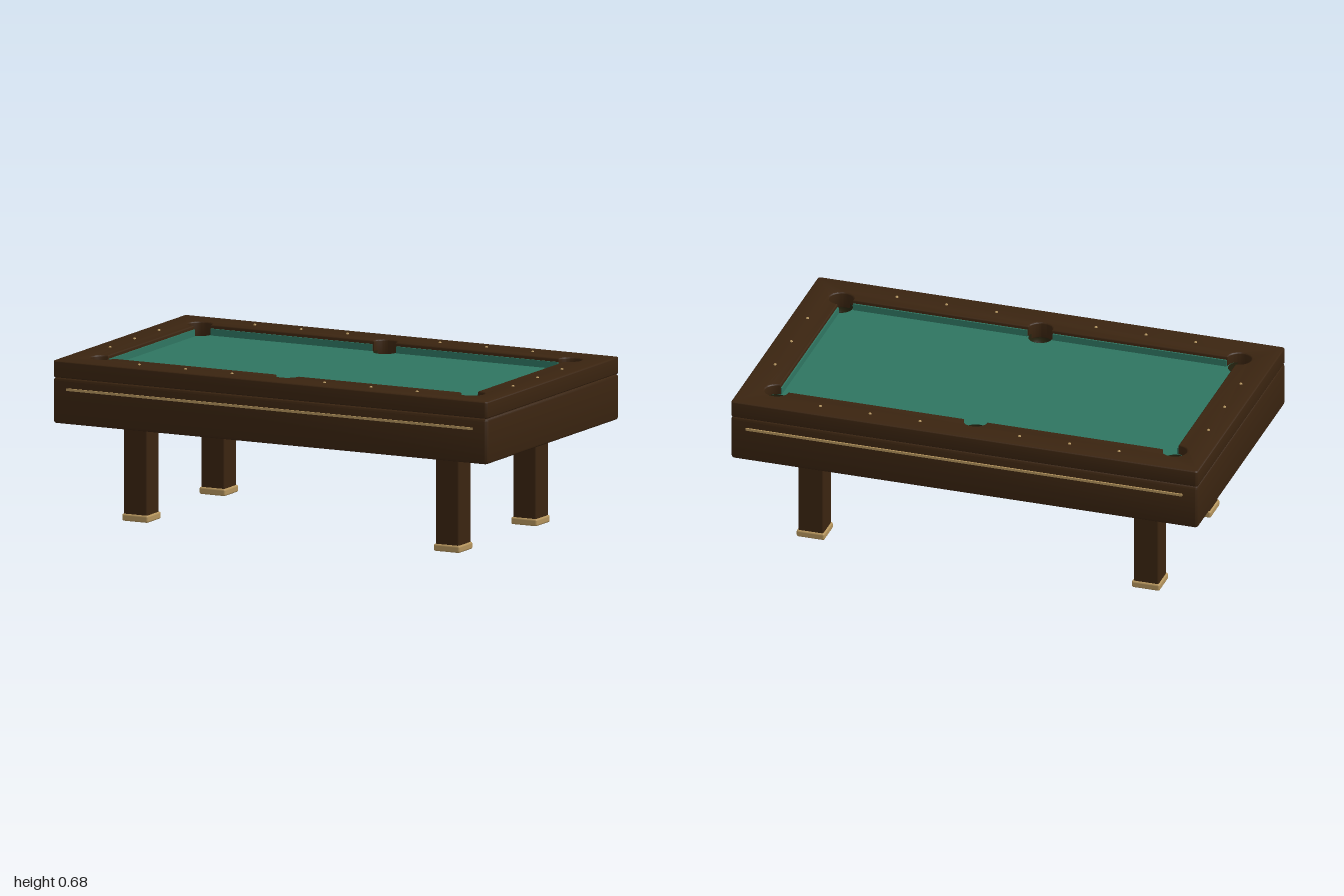
import * as THREE from 'three';
import { toCreasedNormals } from 'three/addons/utils/BufferGeometryUtils.js';
import { RoundedBoxGeometry } from 'three/addons/geometries/RoundedBoxGeometry.js';

const PX = 0.855, PZ = 0.427, R = 0.05; // pocket positions and radius
const TOP = 0.675, CLOTH = 0.632;

function roundedRect(hx, hz, r) {
  const s = new THREE.Shape(), q = Math.PI / 2;
  s.absarc(hx - r, hz - r, r, 0, q);
  s.absarc(-hx + r, hz - r, r, q, 2 * q);
  s.absarc(-hx + r, -hz + r, r, 2 * q, 3 * q);
  s.absarc(hx - r, -hz + r, r, 3 * q, 4 * q);
  s.closePath();
  return s;
}

// Horizontal slab between two heights, with an optional softened edge
function slab(shape, y0, y1, bevel) {
  const g = new THREE.ExtrudeGeometry(shape, {
    depth: y1 - y0 - 2 * bevel, bevelEnabled: bevel > 0, bevelSize: bevel,
    bevelThickness: bevel, bevelOffset: -bevel, bevelSegments: 3, curveSegments: 16,
  });
  g.rotateX(-Math.PI / 2).translate(0, y0 + bevel, 0);
  return toCreasedNormals(g, 0.6);
}

export function createModel() {
  const group = new THREE.Group();
  const material = (name, color, side = THREE.FrontSide) => {
    const m = new THREE.MeshStandardMaterial({ color, side });
    m.name = name;
    return m;
  };
  const wood = material('dark wood', 0x3a2410);
  const cloth = material('green cloth', 0x2f7561, THREE.DoubleSide);
  const brass = material('brass', 0xb3935c);
  const leather = material('pocket leather', 0x25230f, THREE.DoubleSide);

  const add = (name, geometry, mat, x = 0, y = 0, z = 0) => {
    const m = new THREE.Mesh(geometry, mat);
    m.name = name;
    m.position.set(x, y, z);
    group.add(m);
    return m;
  };

  const pockets = [];
  for (const x of [-PX, 0, PX]) for (const z of [-PZ, PZ]) pockets.push([x, z]);
  const drill = (shape, r) => {
    for (const [x, z] of pockets) shape.holes.push(new THREE.Path().absarc(x, z, r, 0, Math.PI * 2));
    return shape;
  };

  // Cabinet and playing bed, drilled through at the pockets
  add('cabinet', slab(drill(roundedRect(1, 0.577, 0.015), R), 0.415, 0.605, 0.012), wood);
  add('playingBed', slab(drill(roundedRect(0.93, 0.5, 0.01), R), 0.606, CLOTH, 0), cloth);

  // Rail frame: the opening swells into an arc at each pocket
  const rail = roundedRect(1, 0.577, 0.012);
  const opening = new THREE.Path();
  const q = Math.PI / 2, b = 0.006, ox = PX - b / 2, oz = PZ - b / 2;
  for (const [x, z, a0, a1] of [
    [ox, oz, -1, 2], [0, oz, 0, 2], [-ox, oz, 0, 3],
    [-ox, -oz, 1, 4], [0, -oz, 2, 4], [ox, -oz, 2, 5],
  ]) opening.absarc(x, z, R, a0 * q, a1 * q);
  opening.closePath();
  rail.holes.push(opening);
  add('railFrame', slab(rail, 0.605, TOP, b), wood);

  // Cloth cushions along the inner faces of the rail
  const cushionH = 0.028, cushionY = CLOTH + cushionH / 2;
  const longCushion = new THREE.BoxGeometry(PX - 2 * R - 0.01, cushionH, 0.008);
  const shortCushion = new THREE.BoxGeometry(0.008, cushionH, 2 * (PZ - R) - 0.01);
  for (const s of [-1, 1]) {
    for (const t of [-1, 1]) add('longCushion', longCushion, cloth, t * PX / 2, cushionY, s * (PZ - 0.005));
    add('shortCushion', shortCushion, cloth, s * (PX - 0.005), cushionY, 0);
  }

  // Pocket bowls, with a cloth lining on the inward side of each shaft
  const profile = [];
  for (let i = 0; i <= 8; i++) {
    const a = (i / 8) * q;
    profile.push(new THREE.Vector2(Math.sin(a) * (R - 0.001), -Math.cos(a) * R));
  }
  profile.push(new THREE.Vector2(R - 0.001, 0.022));
  const bowl = new THREE.LatheGeometry(profile, 28);
  const lining = new THREE.CylinderGeometry(R - 0.0005, R - 0.0005, 0.17, 16, 1, true, -q, Math.PI);
  for (const [x, z] of pockets) {
    add('pocketBowl', bowl, leather, x, 0.61, z);
    add('pocketLining', lining, cloth, x, 0.515, z).rotation.y = z > 0 ? Math.PI : 0;
  }

  // Brass sight markers on the rails
  const sight = new THREE.SphereGeometry(0.007, 10, 6);
  for (const s of [-1, 1]) {
    for (const x of [-0.64, -0.427, -0.213, 0.213, 0.427, 0.64]) add('sightMarker', sight, brass, x, TOP - 0.001, s * 0.503);
    for (const z of [-0.213, 0, 0.213]) add('sightMarker', sight, brass, s * 0.928, TOP - 0.001, z);
  }

  // Brass trim strips on the long sides
  const trim = new THREE.BoxGeometry(1.87, 0.01, 0.008);
  for (const s of [-1, 1]) add('trimStrip', trim, brass, 0, 0.56, s * 0.579);

  // Legs with brass feet
  const leg = new RoundedBoxGeometry(0.107, 0.4, 0.107, 2, 0.006);
  const foot = new RoundedBoxGeometry(0.12, 0.03, 0.12, 3, 0.008);
  for (const x of [-0.718, 0.718]) for (const z of [-0.337, 0.337]) {
    add('leg', leg, wood, x, 0.222, z);
    add('foot', foot, brass, x, 0.015, z);
  }
  return group;
}
